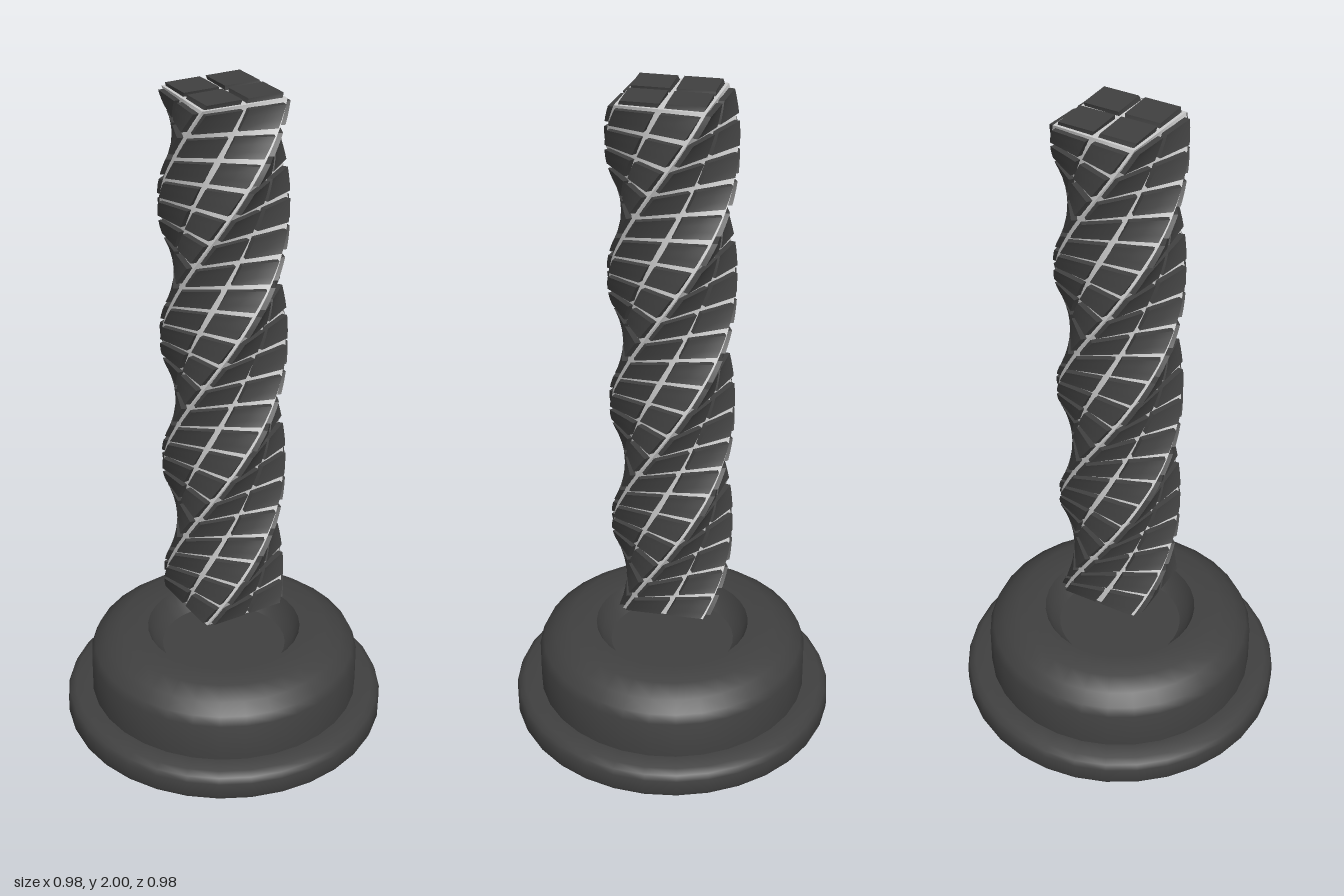
import * as THREE from 'three';
import { mergeGeometries, toCreasedNormals } from 'three/addons/utils/BufferGeometryUtils.js';

const BOTTOM = 0.395, CORE_TOP = 1.988, TOP = 2;
const HALF = 0.124;   // half width of the core
const RAISE = 0.016;  // how far the tiles stand out
const GAP = 0.018;    // seam between tiles
const ROWS = 22;

// Turn every vertex about the y axis by an angle that depends on its height.
function twist(geometry) {
  const p = geometry.attributes.position;
  for (let i = 0; i < p.count; i++) {
    const x = p.getX(i), y = p.getY(i), z = p.getZ(i);
    const a = THREE.MathUtils.degToRad(25 + (TOP - y) * 225);
    p.setXYZ(i, x * Math.cos(a) - z * Math.sin(a), y, x * Math.sin(a) + z * Math.cos(a));
  }
  return toCreasedNormals(geometry, 0.6);
}

function box(w, h, d, x, y, z, segments = [1, 1, 1]) {
  return new THREE.BoxGeometry(w, h, d, ...segments).translate(x, y, z);
}

function addMesh(group, name, geometry, material) {
  const mesh = new THREE.Mesh(geometry, material);
  mesh.name = name;
  group.add(mesh);
}

export function createModel() {
  const model = new THREE.Group();
  const light = new THREE.MeshStandardMaterial({ color: 0xcccccc });
  const dark = new THREE.MeshStandardMaterial({ color: 0x404040 });
  const darkShell = new THREE.MeshStandardMaterial({ color: 0x404040, side: THREE.DoubleSide });

  // Base: open-bottomed shell with a rounded lip and a shallow recess on top
  const profile = [
    [0.485, 0], [0.49, 0.012], [0.49, 0.055], [0.483, 0.073], [0.465, 0.085],
    [0.412, 0.085], [0.412, 0.205], [0.4, 0.232], [0.365, 0.26], [0.318, 0.285],
    [0.235, 0.285], [0.215, 0.24], [0.19, 0.22], [0, 0.22],
  ].map(([r, y]) => new THREE.Vector2(r, y));
  addMesh(model, 'base', toCreasedNormals(new THREE.LatheGeometry(profile, 32), 0.65), darkShell);

  // Floating twisted column
  const column = new THREE.Group();
  column.name = 'twistedColumn';
  model.add(column);

  const coreHeight = CORE_TOP - BOTTOM;
  addMesh(column, 'core', twist(box(HALF * 2, coreHeight, HALF * 2,
    0, BOTTOM + coreHeight / 2, 0, [4, ROWS * 4, 4])), light);

  // Two raised tiles per side in every row
  const tileWidth = HALF - GAP;
  const pitch = coreHeight / ROWS;
  const depth = RAISE + 0.01;
  const sideTiles = [];
  for (let row = 0; row < ROWS; row++) {
    const y = BOTTOM + (row + 0.5) * pitch;
    for (let side = 0; side < 4; side++) {
      for (const s of [-1, 1]) {
        const tile = box(tileWidth, pitch - GAP, depth,
          s * HALF / 2, y, HALF + RAISE - depth / 2, [2, 3, 1]);
        sideTiles.push(twist(tile.rotateY(side * Math.PI / 2)));
      }
    }
  }
  addMesh(column, 'sideTiles', mergeGeometries(sideTiles), dark);

  // Four square tiles on the top end
  const capTiles = [];
  for (const sx of [-1, 1]) {
    for (const sz of [-1, 1]) {
      capTiles.push(twist(box(tileWidth, TOP - CORE_TOP, tileWidth,
        sx * HALF / 2, (TOP + CORE_TOP) / 2, sz * HALF / 2)));
    }
  }
  addMesh(column, 'topTiles', mergeGeometries(capTiles), dark);

  return model;
}
